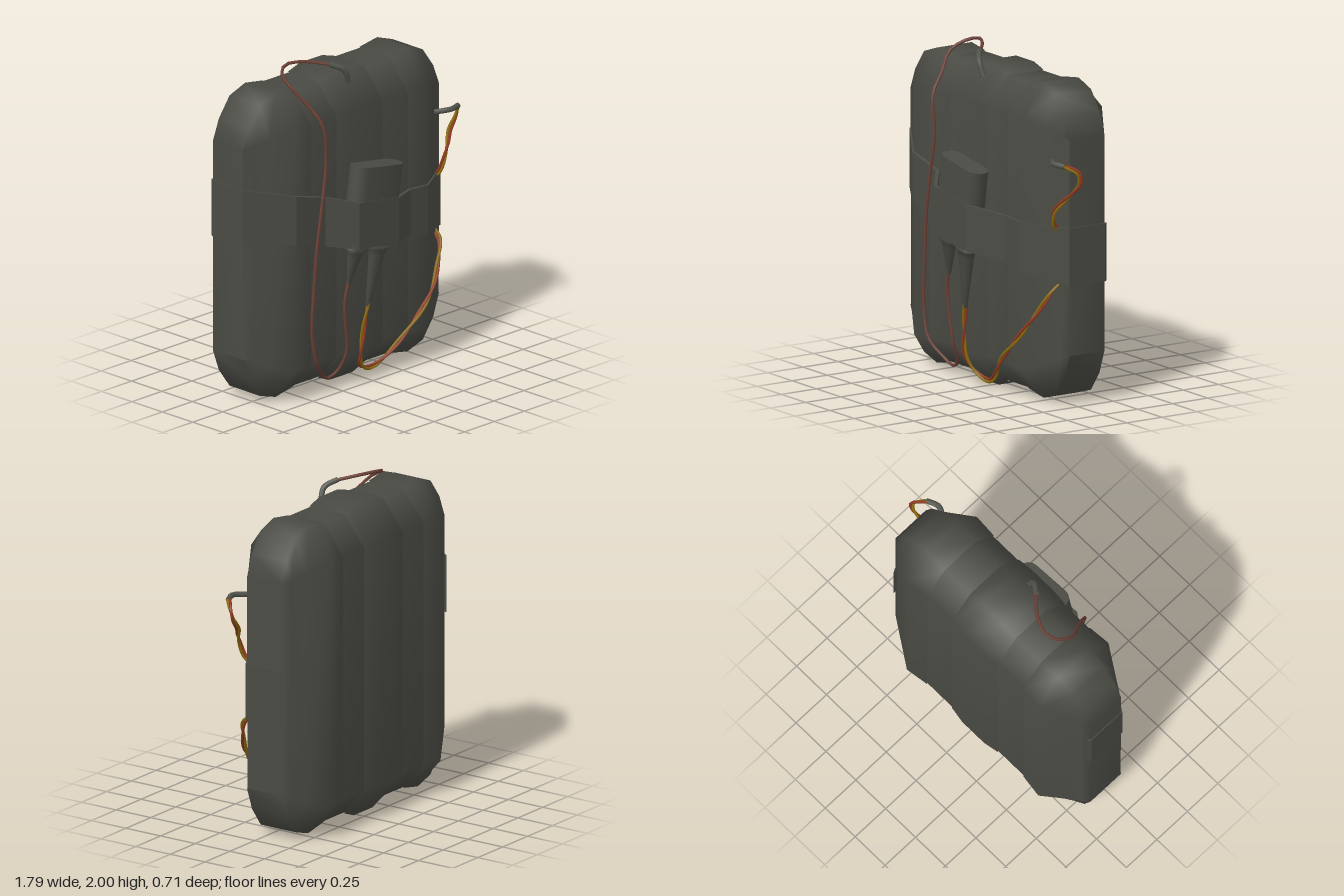
import * as THREE from 'three';
import { mergeVertices, toCreasedNormals } from 'three/addons/utils/BufferGeometryUtils.js';

const material = (name, color) => {
  const m = new THREE.MeshStandardMaterial({ color });
  m.name = name;
  return m;
};

// Skin over a list of closed rings, each with the same number of [x, y, z] corners
function loftGeometry(rings, capStart, capEnd) {
  const n = rings[0].length, index = [];
  for (let s = 0; s < rings.length - 1; s++) {
    for (let k = 0; k < n; k++) {
      const a = s * n + k, b = s * n + (k + 1) % n;
      index.push(a, a + n, b + n, a, b + n, b);
    }
  }
  const last = (rings.length - 1) * n;
  for (let k = 1; k < n - 1; k++) {
    if (capStart) index.push(0, k, k + 1);
    if (capEnd) index.push(last, last + k + 1, last + k);
  }
  const g = new THREE.BufferGeometry();
  g.setAttribute('position', new THREE.Float32BufferAttribute(rings.flat(2), 3));
  g.setIndex(index);
  return g;
}

// Padded body panel: octagonal sections [x, bottom, top, front, back, inner bottom, inner top]
function panelGeometry(sections, capStart, capEnd) {
  const rings = sections.map(([x, y0, y1, zf, zb, i0, i1]) => [
    [x, i0, zf], [x, i1, zf], [x, y1, 0.06], [x, y1, -0.19],
    [x, i1, zb], [x, i0, zb], [x, y0, -0.19], [x, y0, 0.06],
  ]);
  const g = mergeVertices(loftGeometry(rings, capStart, capEnd));
  g.computeVertexNormals();
  return g;
}

const curve = (pts) => new THREE.CatmullRomCurve3(pts.map((p) => new THREE.Vector3(...p)), false, 'centripetal');

// Strand winding around a path
function strandCurve(path, turns, phase, offset) {
  const pts = [], steps = 110;
  const frames = path.computeFrenetFrames(steps, false);
  for (let i = 0; i <= steps; i++) {
    const a = phase + (i / steps) * turns * Math.PI * 2;
    pts.push(path.getPointAt(i / steps)
      .addScaledVector(frames.normals[i], Math.cos(a) * offset)
      .addScaledVector(frames.binormals[i], Math.sin(a) * offset));
  }
  return new THREE.CatmullRomCurve3(pts);
}

export function createModel() {
  const group = new THREE.Group();
  const fabric = material('dark olive fabric', 0x4a4b44);
  const sleeveGrey = material('grey sleeve', 0x52544d);
  const brown = material('brown wire', 0x6c4036);
  const red = material('red wire', 0x923a22);
  const yellow = material('yellow wire', 0x8e6e0e);
  const add = (name, geometry, mat, parent = group) => {
    const mesh = new THREE.Mesh(geometry, mat);
    mesh.name = name;
    parent.add(mesh);
    return mesh;
  };

  // Body: rounded side panels, two recessed panels tucked under them and a raised centre
  const seam = (x, d = 0) => [x, 0.038 + d, 1.882 - d, 0.211 - d, -0.336 + d, 0.208, 1.702];
  const raised = (x) => [x, 0, 1.912, 0.218, -0.352, 0.2, 1.71];
  const rounded = (edge, inner, seamX) => {
    const rows = [[0, 0.31, 1.61], [0.19, 0.17, 1.74], [0.52, 0.05, 1.86], [1, 0.01, 1.905]].map(([t, y0, y1]) =>
      [edge + (inner - edge) * t, y0, y1, 0.055 + 0.165 * t, -0.19 - 0.165 * t, 0.31 - 0.11 * t, 1.61 + 0.1 * t]);
    return [...rows, seam(seamX)];
  };
  add('rightSidePanel', panelGeometry(rounded(-0.89, -0.62, -0.475), true, false), fabric);
  add('rightRecessedPanel', panelGeometry([seam(-0.51, 0.006), seam(-0.23, 0.006)]), fabric);
  add('centrePanel', panelGeometry([seam(-0.265), raised(-0.165), raised(0.02), seam(0.12)]), fabric);
  add('leftRecessedPanel', panelGeometry([seam(0.085, 0.006), seam(0.365, 0.006)]), fabric);
  add('leftSidePanel', panelGeometry(rounded(0.745, 0.48, 0.33).reverse(), false, true), fabric);

  // Strap wrapping both sides and bridging over the pouch: [x, lower y, upper y, z]
  const strapRings = [
    [-0.896, 1.02, 1.37, -0.19], [-0.896, 1.02, 1.37, 0.064], [-0.62, 1.0, 1.30, 0.234],
    [-0.38, 0.93, 1.235, 0.234], [-0.22, 0.9, 1.19, 0.357], [0.11, 0.86, 1.14, 0.357],
    [0.33, 0.82, 1.1, 0.234], [0.48, 0.79, 1.093, 0.234], [0.752, 0.73, 1.08, 0.064],
    [0.752, 0.73, 1.08, -0.19],
  ].map(([x, y0, y1, z]) => [[x, y0, z], [x, y1, z], [x * 0.98, y1, z - 0.022], [x * 0.98, y0, z - 0.022]]);
  add('strap', toCreasedNormals(loftGeometry(strapRings, true, true), 0.3), fabric);

  // Flat oval pouch, leaning under the strap
  const oval = new THREE.Shape();
  oval.absarc(0.125, 0, 0.068, -Math.PI / 2, Math.PI / 2, false);
  oval.absarc(-0.125, 0, 0.068, Math.PI / 2, Math.PI * 1.5, false);
  const pouchGeometry = new THREE.ExtrudeGeometry(oval, { depth: 0.49, bevelEnabled: false, curveSegments: 4 });
  pouchGeometry.rotateX(-Math.PI / 2);
  const pouch = add('pouch', toCreasedNormals(pouchGeometry, 1), fabric);
  pouch.position.set(-0.085, 0.88, 0.284);
  pouch.rotation.z = -0.165;

  // Tapered cable boots below the pouch
  const boot = (name, top, tip, profile) => {
    const a = new THREE.Vector3(...top), b = new THREE.Vector3(...tip);
    const length = a.distanceTo(b);
    const pts = profile.map(([r, t]) => new THREE.Vector2(r, t * length));
    const g = new THREE.LatheGeometry(pts, 10);
    g.scale(1, 1, 0.7);
    const mesh = add(name, g, fabric);
    mesh.position.copy(b);
    mesh.quaternion.setFromUnitVectors(new THREE.Vector3(0, 1, 0), a.sub(b).normalize());
  };
  boot('rightBoot', [-0.165, 0.92, 0.285], [-0.21, 0.65, 0.255], [[0, 0], [0.013, 0], [0.05, 0.64], [0.06, 0.75], [0.095, 0.95], [0, 1]]);
  boot('leftBoot', [0.015, 0.89, 0.285], [-0.048, 0.48, 0.255], [[0, 0], [0.017, 0], [0.038, 0.4], [0.058, 0.78], [0.07, 0.86], [0.1, 0.95], [0, 1]]);

  // Single wire looping over the top
  const loop = curve([
    [-0.205, 0.7, 0.26], [-0.235, 0.55, 0.25], [-0.225, 0.42, 0.245], [-0.2, 0.22, 0.23], [-0.23, 0.1, 0.18],
    [-0.3, 0.07, 0.17], [-0.36, 0.11, 0.19], [-0.45, 0.21, 0.235], [-0.495, 0.4, 0.238], [-0.48, 0.7, 0.24],
    [-0.46, 0.95, 0.246], [-0.42, 1.2, 0.246], [-0.38, 1.47, 0.24], [-0.405, 1.69, 0.236], [-0.44, 1.8, 0.15],
    [-0.495, 1.91, 0.055], [-0.475, 1.96, -0.03], [-0.4, 1.99, -0.075], [-0.28, 1.99, -0.03], [-0.16, 1.965, 0.075],
  ]);
  add('topWire', new THREE.TubeGeometry(loop, 60, 0.01, 6), brown);

  // Twisted pair running under the strap and up the left side
  const pair = curve([
    [-0.045, 0.5, 0.255], [-0.07, 0.35, 0.245], [-0.08, 0.18, 0.23], [-0.04, 0.09, 0.19], [0.05, 0.05, 0.17],
    [0.13, 0.07, 0.18], [0.3, 0.23, 0.235], [0.5, 0.42, 0.235], [0.6, 0.56, 0.19], [0.665, 0.68, 0.14],
    [0.67, 0.76, 0.07], [0.675, 0.9, 0.05], [0.675, 1.04, 0.07], [0.68, 1.1, 0.125], [0.71, 1.19, 0.14],
    [0.76, 1.25, 0.115], [0.81, 1.31, 0.08], [0.87, 1.38, 0.07], [0.875, 1.44, 0.085], [0.81, 1.48, 0.145],
  ]);
  [['redStrand', 0, red], ['yellowStrand', Math.PI, yellow]].forEach(([name, phase, mat]) =>
    add(name, new THREE.TubeGeometry(strandCurve(pair, 5, phase, 0.008), 160, 0.009, 5), mat));

  // Sleeves where the wires enter the body, closed by a disc at each end
  const sleeve = (name, pts) => {
    const part = new THREE.Group();
    part.name = name;
    const path = curve(pts);
    add('sleeveTube', new THREE.TubeGeometry(path, 10, 0.017, 8), sleeveGrey, part);
    [0, 1].forEach((t) => {
      const cap = add('sleeveEnd', new THREE.CircleGeometry(0.017, 8), sleeveGrey, part);
      cap.position.copy(path.getPointAt(t));
      cap.quaternion.setFromUnitVectors(new THREE.Vector3(0, 0, 1), path.getTangentAt(t).multiplyScalar(t ? 1 : -1));
    });
    group.add(part);
  };
  sleeve('topSleeve', [[-0.175, 1.97, 0.065], [-0.105, 1.93, 0.115], [-0.065, 1.84, 0.11]]);
  sleeve('sideSleeve', [[0.65, 1.47, 0.11], [0.74, 1.48, 0.165], [0.82, 1.475, 0.14]]);

  return group;
}
